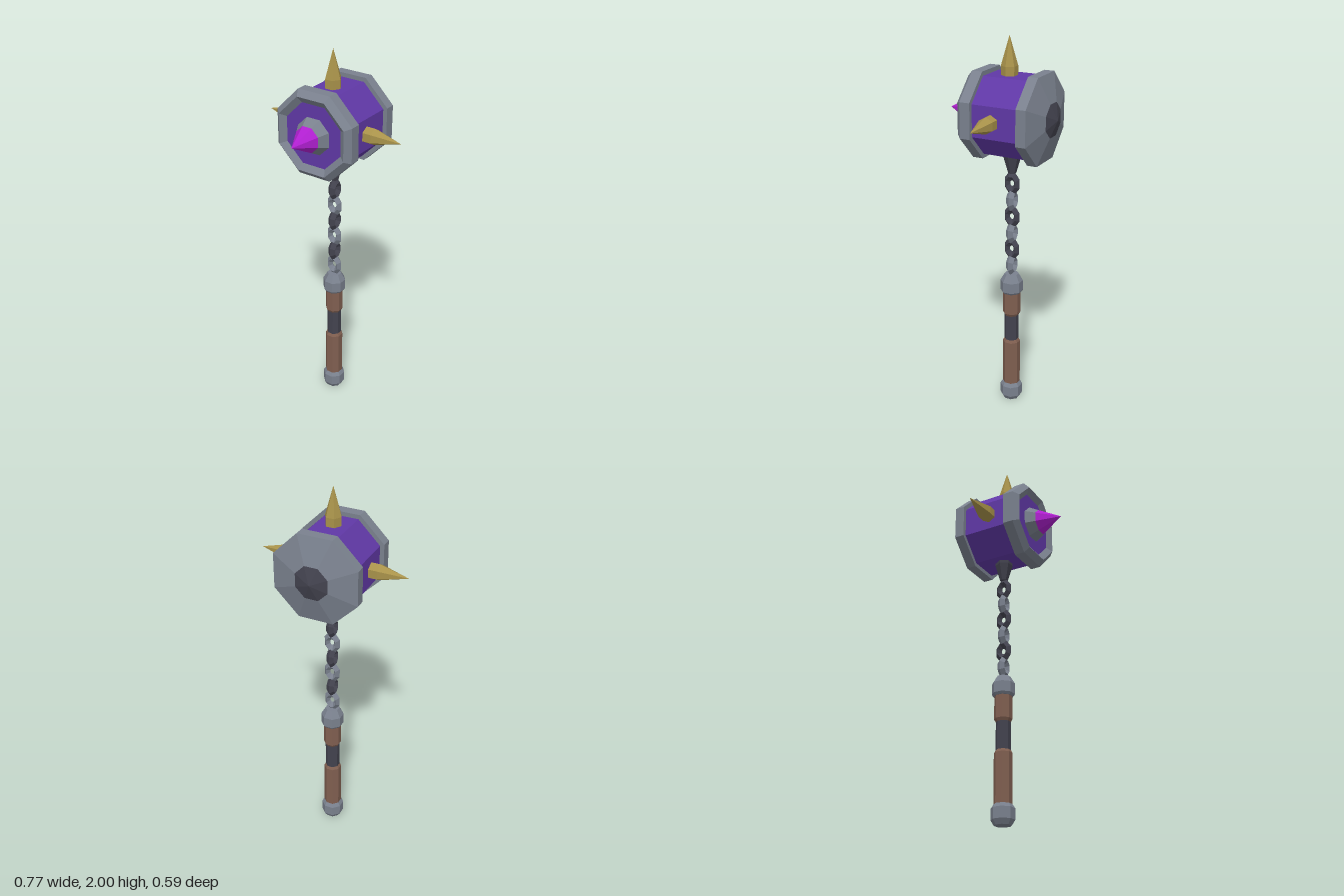
import * as THREE from 'three';

const colour = (name, hex) => {
  const m = new THREE.MeshStandardMaterial({ color: hex, flatShading: true });
  m.name = name;
  return m;
};

export function createModel() {
  const steel = colour('steel grey', 0x7a818e);
  const iron = colour('dark iron', 0x43434f);
  const purple = colour('purple', 0x6038a6);
  const gem = colour('magenta', 0xb01fd0);
  const gold = colour('old gold', 0xa8924a);
  const wood = colour('brown wood', 0x805f50);

  const model = new THREE.Group();
  model.name = 'flail';

  // Faceted solid of revolution; profile rows are [half-width across flats, height]
  const turned = (name, material, sides, profile) => {
    const k = 1 / Math.cos(Math.PI / sides);
    const points = profile.map(([r, y]) => new THREE.Vector2(r * k, y));
    const geometry = new THREE.LatheGeometry(points, sides, Math.PI / sides);
    const mesh = new THREE.Mesh(geometry, material);
    mesh.name = name;
    return mesh;
  };

  // Handle, standing upright
  const shaft = new THREE.Group();
  shaft.name = 'handle';
  shaft.position.z = -0.053;
  shaft.add(
    turned('pommel', steel, 8, [[0, 0], [0.04, 0], [0.055, 0.026], [0.055, 0.082], [0.04, 0.107], [0, 0.107]]),
    turned('lowerGrip', wood, 8, [[0.043, 0.1], [0.043, 0.355], [0.035, 0.37], [0, 0.37]]),
    turned('gripWrap', iron, 8, [[0.035, 0.36], [0.035, 0.53]]),
    turned('upperGrip', wood, 8, [[0, 0.515], [0.035, 0.515], [0.043, 0.53], [0.043, 0.66]]),
    turned('handleCap', steel, 8, [[0, 0.65], [0.047, 0.65], [0.055, 0.662], [0.055, 0.718], [0.034, 0.757], [0, 0.757]])
  );
  model.add(shaft);

  // Chain of alternating links
  const chain = new THREE.Group();
  chain.name = 'chain';
  chain.position.z = -0.053;
  for (let i = 0; i < 6; i++) {
    const geometry = new THREE.TorusGeometry(0.03, 0.018, 4, 8);
    geometry.rotateZ(Math.PI / 8);
    geometry.scale(0.95, 1.3, 1.15);
    const link = new THREE.Mesh(geometry, i % 2 ? iron : steel);
    link.name = 'chainLink';
    link.position.y = 0.81 + i * 0.09;
    link.rotation.y = i % 2 ? Math.PI / 2 : 0;
    chain.add(link);
  }
  const socket = turned('chainSocket', iron, 6, [[0, 1.315], [0.018, 1.315], [0.04, 1.405], [0.04, 1.43]]);
  chain.add(socket);
  model.add(chain);

  // Head, turned along its own y axis and laid forward along z
  const head = new THREE.Group();
  head.name = 'head';
  head.position.y = 1.615;
  head.rotation.x = Math.PI / 2;
  head.add(
    turned('headBarrel', purple, 8, [[0.195, -0.185], [0.195, 0.07]]),
    turned('frontPlate', purple, 8, [[0.158, 0.125], [0, 0.125]]),
    turned('frontCollar', steel, 8, [[0.19, 0.065], [0.217, 0.065], [0.217, 0.12], [0.188, 0.148], [0.155, 0.124]]),
    turned('backCollar', steel, 8, [[0.083, -0.273], [0.217, -0.232], [0.217, -0.18], [0.19, -0.18]]),
    turned('backBoss', iron, 8, [[0, -0.298], [0.083, -0.273]]),
    turned('gemMount', steel, 8, [[0.09, 0.124], [0.063, 0.175]]),
    turned('gem', gem, 8, [[0.063, 0.175], [0, 0.296]])
  );
  model.add(head);

  // Spikes on the top and both sides
  for (const [i, angle] of [0, Math.PI / 2, -Math.PI / 2].entries()) {
    const spike = turned(['topSpike', 'rightSpike', 'leftSpike'][i].replace('right', 'side').replace('left', 'side'),
      gold, 6, [[0.0365, 0.18], [0.0365, 0.24], [0, 0.386]]);
    spike.position.set(0, 1.615, -0.036);
    spike.rotation.z = angle;
    model.add(spike);
  }

  return model;
}
